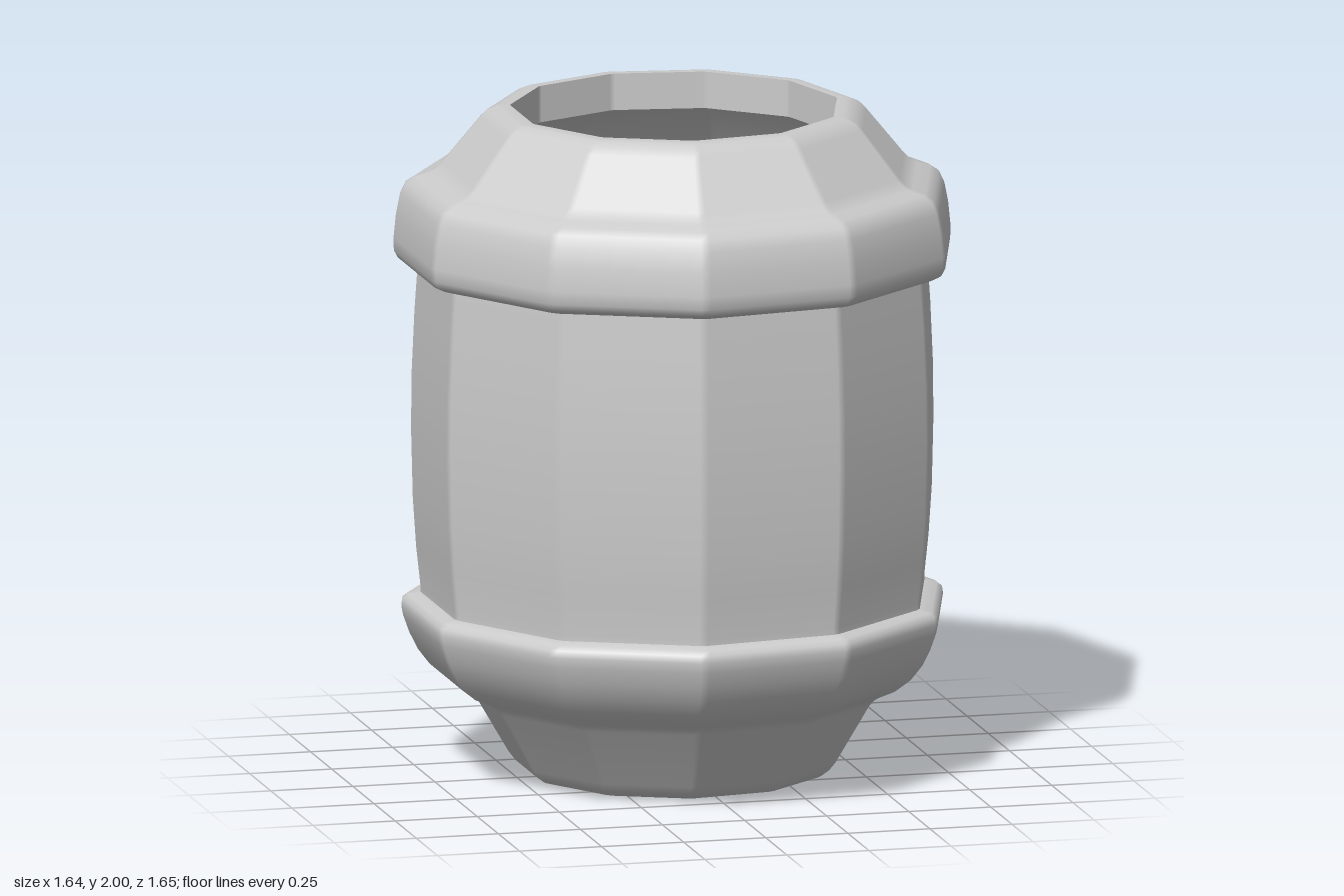
import * as THREE from 'three';

const SIDES = 11;
const AXIS_X = -0.016; // an odd number of sides puts the axis slightly off the box centre
const CHAMFER = 0.03; // part of each side given to the softened vertical corner
const CREASE = Math.cos(THREE.MathUtils.degToRad(50));

// Each part's [radius, height] profile carries on from the end of the part before it.
const parts = {
  base: [[0, 0], [0.42, 0], [0.45, 0.007], [0.475, 0.025], [0.495, 0.05], [0.6, 0.228], [0.615, 0.245], [0.635, 0.258]],
  lowerBand: [[0.685, 0.28], [0.73, 0.315], [0.765, 0.36], [0.79, 0.41], [0.808, 0.46], [0.814, 0.49],
    [0.811, 0.512], [0.795, 0.525], [0.757, 0.532]],
  body: [[0.757, 0.55], [0.77, 0.67], [0.78, 0.82], [0.785, 1.03], [0.783, 1.2], [0.775, 1.38], [0.765, 1.525]],
  upperBand: [[0.8, 1.528], [0.824, 1.54], [0.836, 1.562], [0.837, 1.6], [0.83, 1.67], [0.818, 1.73],
    [0.802, 1.765], [0.775, 1.783], [0.735, 1.795]],
  shoulder: [[0.715, 1.805], [0.695, 1.825], [0.58, 1.965], [0.56, 1.985], [0.53, 1.998], [0.515, 2]],
  rim: [[0.49, 2], [0.49, 1.89]],
  inside: [[0.52, 1.885], [0.62, 1.76], [0.65, 1.72], [0.7, 1.695], [0.72, 1.68], [0.735, 1.64], [0.73, 1.625],
    [0.69, 1.615], [0.667, 1.6], [0.675, 1.4], [0.685, 1.03], [0.675, 0.75], [0.657, 0.55], [0.66, 0.45],
    [0.69, 0.43], [0.675, 0.4], [0.645, 0.37], [0.59, 0.345], [0.54, 0.3], [0.43, 0.11], [0.41, 0.1], [0, 0.1]],
};

// Cross-section: every corner becomes two points that carry their side's normal
function crossSection() {
  const ring = [];
  const corner = k => {
    const a = (k * 2 * Math.PI) / SIDES;
    return new THREE.Vector2(Math.cos(a), -Math.sin(a));
  };
  for (let k = 0; k < SIDES; k++) {
    for (const s of [-1, 1]) {
      const a = ((2 * k + s) * Math.PI) / SIDES;
      ring.push({
        p: corner(k).lerp(corner(k + s), CHAMFER),
        n: new THREE.Vector2(Math.cos(a), -Math.sin(a)),
      });
    }
  }
  return ring;
}

// Surface swept around the axis between profile points first and last
function sweep(profile, normals, first, last, ring) {
  const position = [], normal = [], index = [];
  const count = ring.length;
  for (let i = first; i < last; i++) {
    const start = position.length / 3;
    for (const end of [0, 1]) {
      const [r, y] = profile[i + end];
      const flow = normals[i][end];
      for (const { p, n } of ring) {
        position.push(p.x * r + AXIS_X, y, p.y * r);
        normal.push(n.x * flow.x, flow.y, n.y * flow.x);
      }
    }
    for (let j = 0; j < count; j++) {
      const a = start + j, b = start + ((j + 1) % count);
      if (profile[i][0] > 0) index.push(a, b, b + count);
      if (profile[i + 1][0] > 0) index.push(a, b + count, a + count);
      else if (profile[i][0] > 0) continue;
    }
  }
  const geometry = new THREE.BufferGeometry();
  geometry.setAttribute('position', new THREE.Float32BufferAttribute(position, 3));
  geometry.setAttribute('normal', new THREE.Float32BufferAttribute(normal, 3));
  geometry.setIndex(index);
  return geometry;
}

export function createModel() {
  const group = new THREE.Group();
  group.name = 'barrel';
  const material = new THREE.MeshStandardMaterial({ color: 0xcccccc });
  const profile = Object.values(parts).flat();

  // Profile normals, smooth along gentle bends and split at sharp ones
  const flat = profile.slice(1).map(([r, y], i) =>
    new THREE.Vector2(y - profile[i][1], profile[i][0] - r).normalize());
  const blend = (a, b) => (b && a.dot(b) > CREASE ? a.clone().add(b).normalize() : a);
  const normals = flat.map((n, i) => [blend(n, flat[i - 1]), blend(n, flat[i + 1])]);

  const ring = crossSection();
  let first = 0, last = -1;
  for (const [name, points] of Object.entries(parts)) {
    last += points.length;
    const mesh = new THREE.Mesh(sweep(profile, normals, first, last, ring), material);
    mesh.name = name;
    group.add(mesh);
    first = last;
  }
  return group;
}
